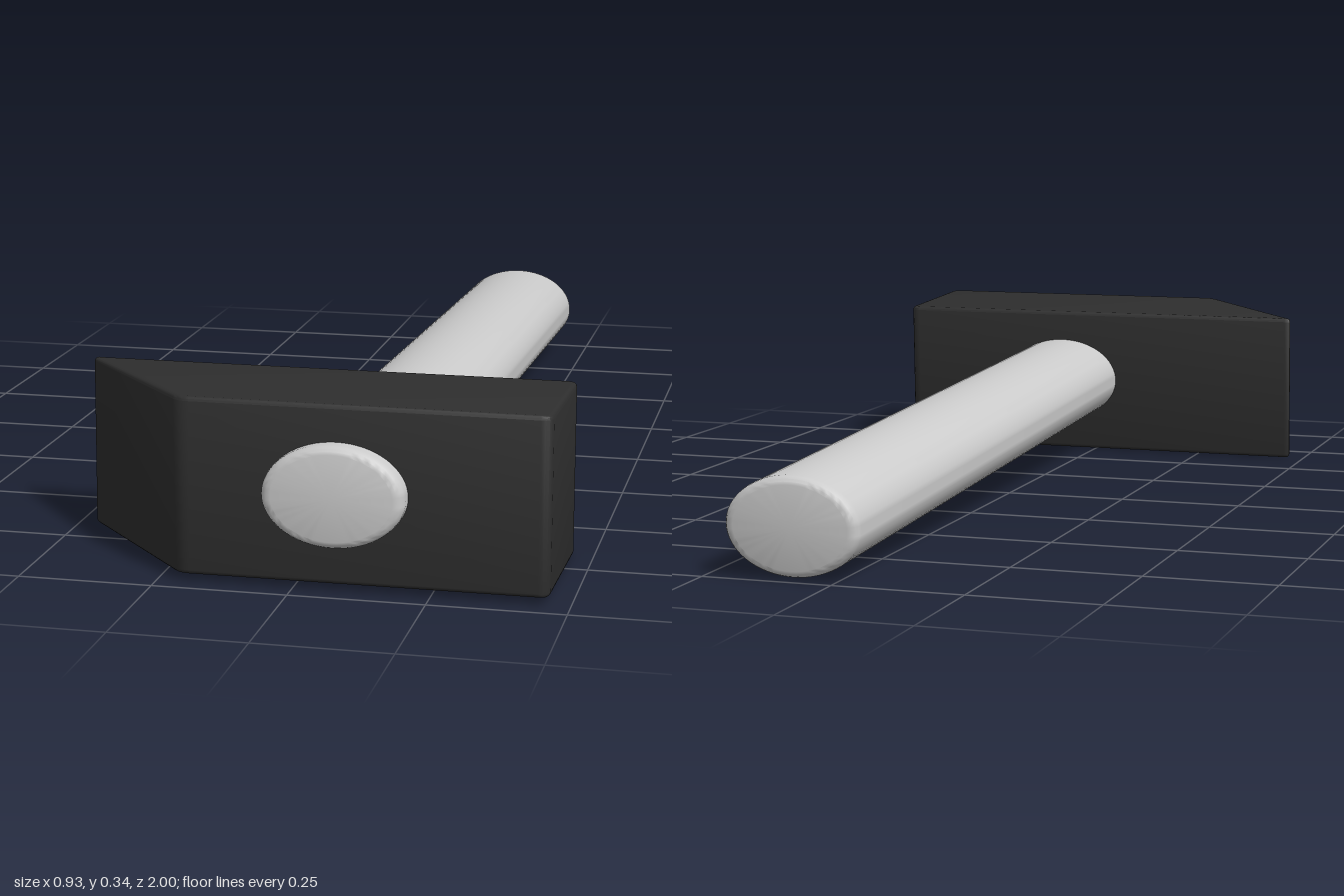
import * as THREE from 'three';
import { toCreasedNormals } from 'three/addons/utils/BufferGeometryUtils.js';

// Closed outline with each corner softened by a small curve
function roundedOutline(corners, cut) {
  const shape = new THREE.Shape();
  const pts = corners.map(([x, y]) => new THREE.Vector2(x, y));
  pts.forEach((p, i) => {
    const prev = pts[(i + pts.length - 1) % pts.length];
    const next = pts[(i + 1) % pts.length];
    const a = p.clone().add(prev.clone().sub(p).setLength(cut));
    const b = p.clone().add(next.clone().sub(p).setLength(cut));
    if (i === 0) shape.moveTo(a.x, a.y);
    else shape.lineTo(a.x, a.y);
    shape.quadraticCurveTo(p.x, p.y, b.x, b.y);
  });
  shape.closePath();
  return shape;
}

export function createModel() {
  const hammer = new THREE.Group();
  hammer.name = 'hammer';
  const wood = new THREE.MeshStandardMaterial({ color: 0xcccccc });
  const steel = new THREE.MeshStandardMaterial({ color: 0x2e2e2e });

  // Handle: oval rod along z with softened ends
  const half = 0.997, radius = 0.13, soft = 0.02;
  const profile = [new THREE.Vector2(0, -half)];
  for (const end of [-1, 1]) {
    for (let i = 0; i <= 4; i++) {
      const a = (end < 0 ? i - 4 : i) * Math.PI / 8;
      profile.push(new THREE.Vector2(
        radius - soft + soft * Math.cos(a),
        end * (half - soft) + soft * Math.sin(a)));
    }
  }
  profile.push(new THREE.Vector2(0, half));
  const rod = new THREE.LatheGeometry(profile, 64);
  rod.rotateX(Math.PI / 2);
  rod.scale(1, 0.093 / radius, 1);
  const handle = new THREE.Mesh(toCreasedNormals(rod, 0.5), wood);
  handle.name = 'handle';
  handle.position.x = 0.08;

  // Head: block with one slanted end, outlined in plan and extruded upward
  const height = 0.326, bevel = 0.008;
  const outline = roundedOutline(
    [[-0.475, 0.645], [0.462, 0.645], [0.462, 0.957], [-0.21, 0.957]], 0.02);
  const block = new THREE.ExtrudeGeometry(outline, {
    depth: height - 2 * bevel, curveSegments: 4,
    bevelThickness: bevel, bevelSize: bevel, bevelOffset: -bevel, bevelSegments: 3,
  });
  block.rotateX(Math.PI / 2);
  block.translate(0, height / 2 - bevel - 0.003, 0);
  const head = new THREE.Mesh(toCreasedNormals(block, 0.6), steel);
  head.name = 'head';

  // Resting pose: the handle end sits lower than the head
  hammer.add(handle, head);
  hammer.rotation.x = -0.042;
  hammer.position.y = 0.142;
  const model = new THREE.Group();
  model.add(hammer);
  return model;
}
